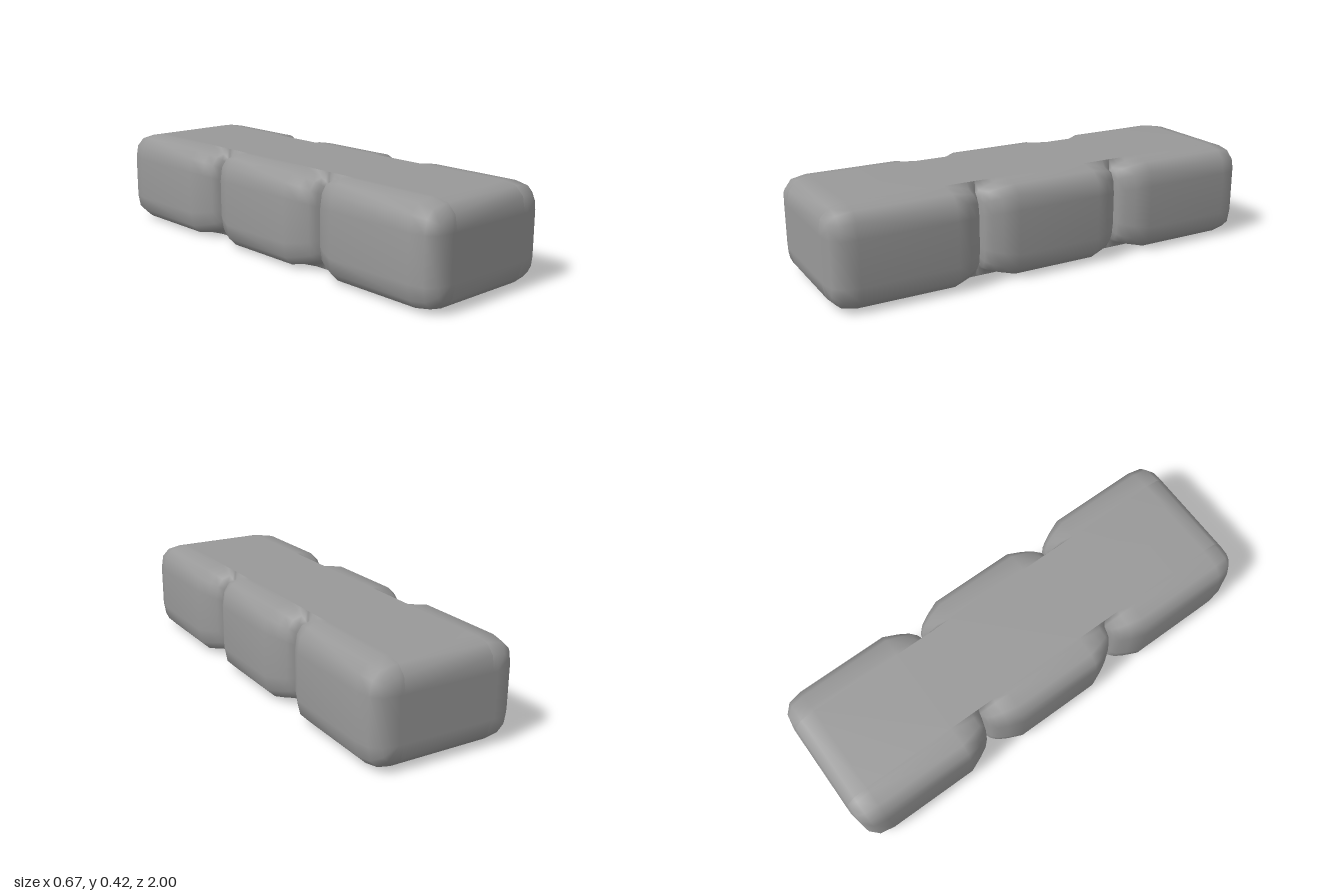
import * as THREE from 'three';

const CORE_X = 0.22, CORE_Y = 0.096, RADIUS = 0.113, MID_Y = 0.209;

// Rounded corner, as unit offsets from the core's corner
const CORNER = [[0, 1], [0.575, 0.894], [0.894, 0.575], [1, 0]];
// Shape the corner takes at the bottom of a pinch
const PINCH = [[0.205, 0.15], [0.212, 0.14], [0.22, 0.11], [0.225, 0.06]];

// One closed cross-section: r = rounding scale, pinch = groove depth 0..1
function ring(z, r, pinch) {
  // The rim of the flat strip is doubled, so it stays sharp beside a groove
  const rim = [0.2, CORE_Y + RADIUS * r];
  const quarter = [rim, rim];
  CORNER.forEach(([cx, cy], i) => quarter.push([
    THREE.MathUtils.lerp(CORE_X + RADIUS * r * cx, PINCH[i][0], pinch),
    THREE.MathUtils.lerp(CORE_Y + RADIUS * r * cy, PINCH[i][1], pinch),
  ]));
  const back = [...quarter].reverse();
  const place = (pts, sx, sy) => pts.map(([x, y]) => [x * sx, MID_Y + y * sy, z]);
  return [...place(quarter, 1, 1), ...place(back, 1, -1),
    ...place(quarter, -1, -1), ...place(back, -1, 1)];
}

function bodyGeometry() {
  // Stations along z: rounded ends and two pinched grooves (doubled at the seam)
  const stations = [];
  for (const s of [-1, 1]) {
    for (const [z, r] of [[0.887, 1], [0.952, 0.894], [0.987, 0.575], [1, 0]]) {
      stations.push([s * z, r, 0]);
    }
    for (const [d, p] of [[0, 1], [0.012, 0.66], [0.035, 0.45], [0.075, 0.25], [0.14, 0]]) {
      stations.push([s / 3 + d, 1, p], [s / 3 - d, 1, p]);
    }
  }
  stations.sort((a, b) => a[0] - b[0]);

  const rings = stations.map((s) => ring(...s));
  const n = rings[0].length, last = (rings.length - 1) * n;
  const positions = rings.flat(2);
  const index = [];
  for (let k = 0; k < rings.length - 1; k++) {
    for (let j = 0; j < n; j++) {
      const a = k * n + j, b = k * n + (j + 1) % n;
      index.push(a, a + n, b, b, a + n, b + n);
    }
  }
  // Flat end caps
  const c = rings.length * n;
  positions.push(0, MID_Y, -1, 0, MID_Y, 1);
  for (let j = 0; j < n; j++) {
    const next = (j + 1) % n;
    index.push(c, j, next, c + 1, last + next, last + j);
  }
  const geometry = new THREE.BufferGeometry();
  geometry.setAttribute('position', new THREE.Float32BufferAttribute(positions, 3));
  geometry.setIndex(index);
  geometry.computeVertexNormals();
  // Cap edges face straight out, so the ends look flat and blend into the rounding
  const { position, normal } = geometry.attributes;
  for (let i = 0; i < position.count; i++) {
    const z = position.getZ(i);
    if (Math.abs(z) === 1) normal.setXYZ(i, 0, 0, z);
  }
  return geometry;
}

export function createModel() {
  const group = new THREE.Group();
  group.name = 'segmentedBlock';
  const material = new THREE.MeshStandardMaterial({ color: 0x999999 });
  const body = new THREE.Mesh(bodyGeometry(), material);
  body.name = 'pinchedBody';
  group.add(body);
  return group;
}
